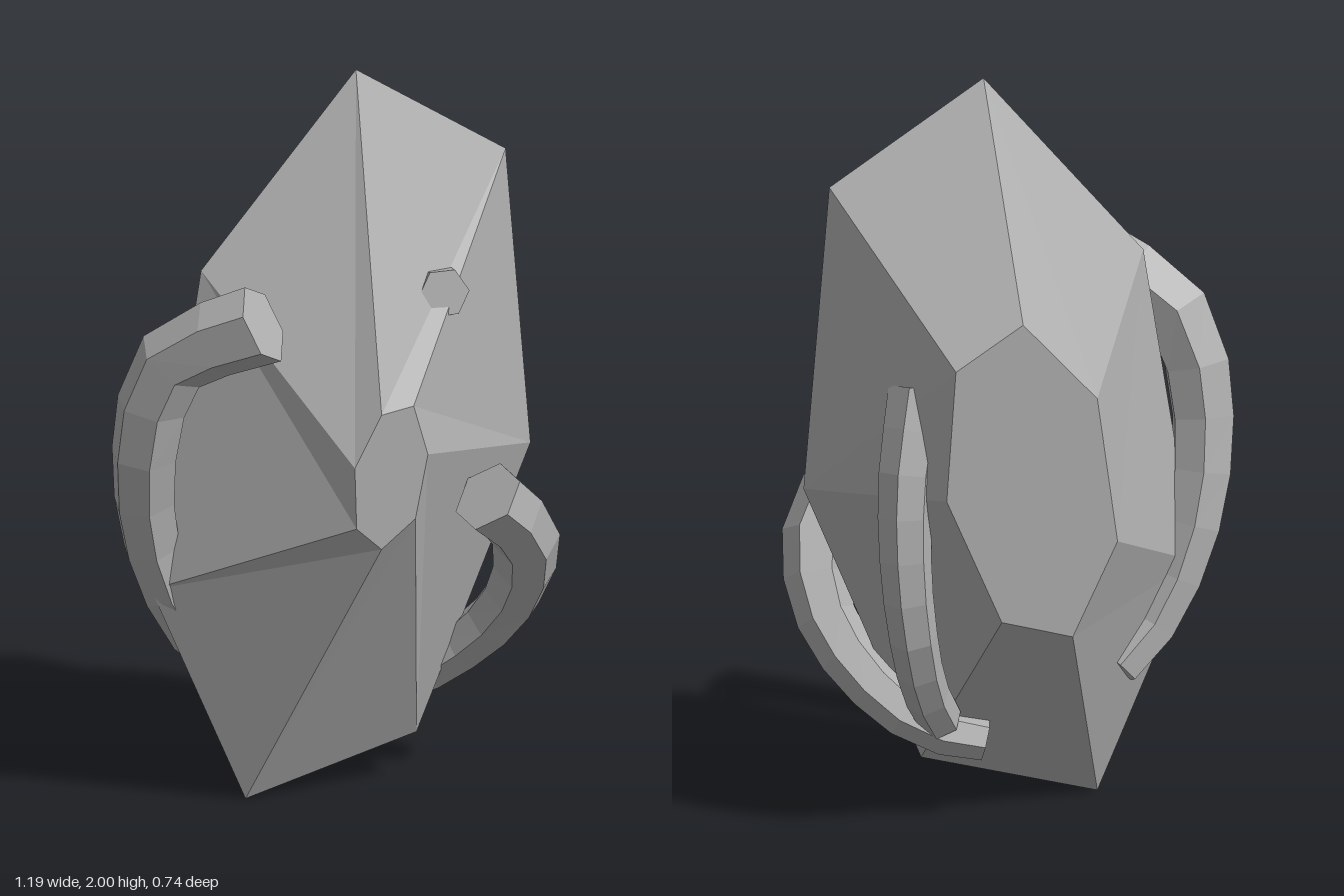
import * as THREE from 'three';

const stone = new THREE.MeshStandardMaterial({ color: 0xb0b0b0, flatShading: true });
stone.name = 'grey stone';

function faceted(name, points, index) {
  const indexed = new THREE.BufferGeometry().setFromPoints(points);
  indexed.setIndex(index);
  const geo = indexed.toNonIndexed();
  geo.computeVertexNormals();
  const mesh = new THREE.Mesh(geo, stone);
  mesh.name = name;
  return mesh;
}

// Crystal: a wide middle outline joined to a small front facet and a larger back facet
function crystalBody() {
  const middle = [[0.10, 2.0], [0.52, 1.73], [0.59, 0.90], [0.27, 0.13], [-0.21, 0], [-0.475, 0.615], [-0.335, 1.49]];
  const front = [[0.04, 1.16], [0.13, 1.175], [0.17, 1.035], [0.135, 0.86], [0.04, 0.785], [-0.03, 0.85], [-0.035, 1.02]];
  const back = [[0.087, 1.43], [0.27, 1.314], [0.295, 0.957], [0.145, 0.61], [-0.048, 0.555], [-0.17, 0.81], [-0.115, 1.21]];
  const at = z => ([x, y]) => new THREE.Vector3(x, y, z);
  const points = [...middle.map(at(0)), ...front.map(at(0.363)), ...back.map(at(-0.372))];
  const n = middle.length, index = [];
  for (let i = 0; i < n; i++) {
    const j = (i + 1) % n;
    const f = n + i, fj = n + j, b = 2 * n + i, bj = 2 * n + j;
    index.push(f, j, i, f, fj, j); // front slopes
    index.push(b, i, j, b, j, bj); // back slopes
    if (i > 0 && i < n - 1) {
      index.push(n, fj, f); // front facet
      index.push(2 * n, b, bj); // back facet
    }
  }
  return faceted('crystal body', points, index);
}

// Six-sided tapering horn swept along a curve, closed at both ends
function horn(name, path, r0, r1, segments = 9) {
  const curve = new THREE.CatmullRomCurve3(path.map(p => new THREE.Vector3(...p)));
  const frames = curve.computeFrenetFrames(segments, false);
  const sides = 6, points = [], index = [];
  for (let i = 0; i <= segments; i++) {
    const centre = curve.getPointAt(i / segments);
    const r = r0 + (r1 - r0) * i / segments;
    for (let k = 0; k < sides; k++) {
      const a = k / sides * Math.PI * 2;
      points.push(centre.clone()
        .addScaledVector(frames.normals[i], r * Math.cos(a))
        .addScaledVector(frames.binormals[i], r * Math.sin(a)));
      if (i < segments) {
        const p = i * sides + k, q = i * sides + (k + 1) % sides;
        index.push(p, q, q + sides, p, q + sides, p + sides);
      }
    }
  }
  const last = segments * sides;
  for (let k = 1; k < sides - 1; k++) {
    index.push(0, k + 1, k, last, last + k, last + k + 1);
  }
  return faceted(name, points, index);
}

export function createModel() {
  const model = new THREE.Group();
  model.name = 'crystal with horns';
  model.add(
    crystalBody(),
    // Long horn curling round the right side
    horn('right horn', [[-0.25, 1.41, 0.245], [-0.45, 1.28, 0.09], [-0.505, 1.02, 0.03],
      [-0.46, 0.72, -0.03], [-0.35, 0.48, -0.06], [-0.24, 0.37, -0.09]], 0.11, 0.065),
    // Short horn curling from the front round to the underside
    horn('left front horn', [[0.37, 0.865, 0.275], [0.49, 0.74, 0.22], [0.52, 0.58, 0.13],
      [0.48, 0.45, 0.05], [0.39, 0.33, -0.04], [0.275, 0.245, -0.105], [0.13, 0.21, -0.14]], 0.1, 0.055),
    // Slim horn lying along the left back slope
    horn('left back horn', [[0.33, 1.22, -0.2], [0.38, 0.98, -0.265], [0.385, 0.75, -0.29],
      [0.36, 0.55, -0.275], [0.31, 0.38, -0.2], [0.25, 0.27, -0.13]], 0.08, 0.058),
    // Small tip poking out of the upper front slope
    horn('front horn tip', [[0.29, 1.38, 0.05], [0.28, 1.41, 0.14], [0.27, 1.425, 0.215]], 0.07, 0.068, 2)
  );
  return model;
}
